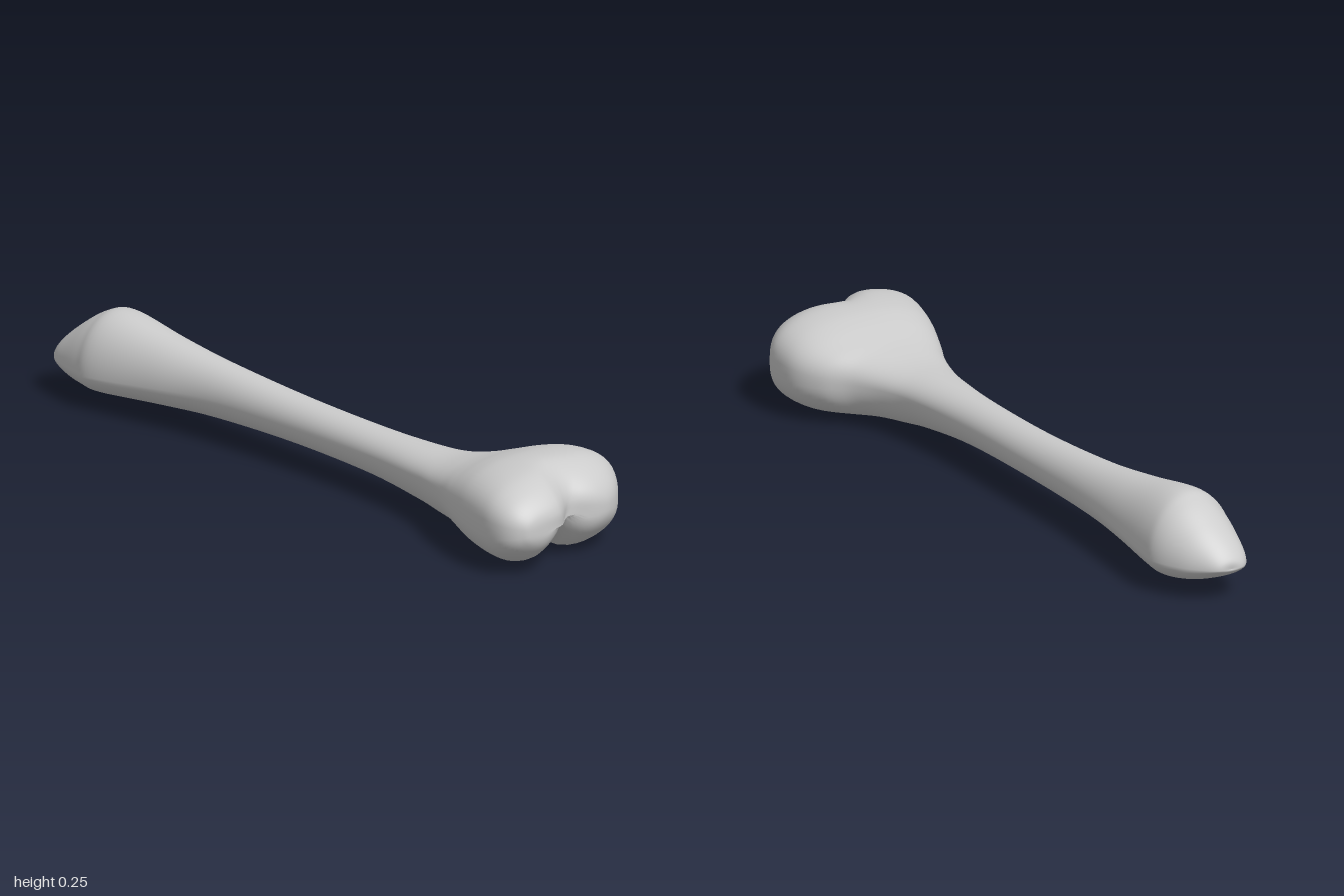
import * as THREE from 'three';

// Stations along the bone: z, left x, right x, bottom y, top y
const STATIONS = [
  [-1.0, -0.06, -0.06, 0.094, 0.094],
  [-0.998, -0.095, -0.025, 0.085, 0.115],
  [-0.97, -0.122, 0.012, 0.066, 0.15],
  [-0.92, -0.14, 0.052, 0.043, 0.193],
  [-0.85, -0.156, 0.082, 0.031, 0.238],
  [-0.78, -0.163, 0.08, 0.031, 0.253],
  [-0.6, -0.13, 0.06, 0.045, 0.226],
  [-0.4, -0.097, 0.045, 0.055, 0.203],
  [-0.1, -0.081, 0.04, 0.06, 0.184],
  [0.2, -0.083, 0.042, 0.053, 0.178],
  [0.4, -0.1, 0.06, 0.034, 0.18],
  [0.5, -0.119, 0.088, 0.022, 0.185],
  [0.58, -0.142, 0.135, 0.018, 0.2],
  [0.64, -0.168, 0.197, 0.014, 0.217],
  [0.7, -0.192, 0.233, 0.006, 0.236],
  [0.76, -0.213, 0.243, 0.002, 0.248],
  [0.84, -0.235, 0.238, 0.002, 0.251],
  [0.9, -0.245, 0.215, 0.008, 0.244],
  [0.95, -0.238, 0.18, 0.03, 0.223],
  [0.985, -0.212, 0.135, 0.063, 0.192],
  [1.0, -0.17, 0.08, 0.095, 0.16],
  [1.0, -0.05, -0.05, 0.125, 0.125],
];
const SIDES = 64;
const STEPS = 6;

// Smooth interpolation of all station values
function section(t) {
  const last = STATIONS.length - 1;
  const i = Math.min(Math.floor(t), last - 1);
  const f = t - i;
  const at = (k) => STATIONS[Math.max(0, Math.min(last, k))];
  const [p, q, r, s] = [at(i - 1), at(i), at(i + 1), at(i + 2)];
  return q.map((v, k) => {
    const a = (r[k] - p[k]) / 2;
    const b = (s[k] - v) / 2;
    return v + a * f + (3 * (r[k] - v) - 2 * a - b) * f * f
      + (2 * (v - r[k]) + a + b) * f * f * f;
  });
}

const bump = (x, centre, width) => Math.exp(-(((x - centre) / width) ** 2));
const smooth = THREE.MathUtils.smoothstep;

// Shape the two condyles, the groove between them and the hollow of the small end
function sculpt(x, y, z, ym, under) {
  const front = smooth(z, 0.72, 0.96);
  const dz = front * (0.04 * smooth(x, -0.08, 0.06) + 0.04 * bump(x, -0.02, 0.05));
  const groove = 0.055 * under * bump(x, -0.05, 0.06) * smooth(z, 0.66, 0.88);
  const hollow = 0.02 * under * bump(x, -0.04, 0.05) * bump(z, -0.82, 0.1);
  return [x, Math.min(y + groove + hollow, Math.max(y, ym)), z - dz];
}

function boneGeometry() {
  const positions = [];
  const indices = [];
  const rings = (STATIONS.length - 1) * STEPS;
  for (let i = 0; i <= rings; i++) {
    const [z, xl, xr, yb, yt] = section(i / STEPS);
    // The widest line runs low at the small end; the big end is squarer
    const ym = THREE.MathUtils.lerp(0.094, 0.125, smooth(z, -0.9, -0.3));
    const power = 2 / (2 + 0.7 * smooth(z, 0.4, 0.85));
    for (let j = 0; j < SIDES; j++) {
      const a = (j / SIDES) * Math.PI * 2;
      const c = Math.cos(a);
      const s = Math.sin(a);
      const x = (xl + xr) / 2 + ((xr - xl) / 2) * Math.sign(c) * Math.abs(c) ** power;
      const h = Math.abs(s) ** power;
      const y = s > 0 ? ym + (yt - ym) * h : ym - (ym - yb) * h;
      positions.push(...sculpt(x, y, z, ym, s < 0 ? h : 0));
      if (i < rings) {
        const p = i * SIDES + j;
        const q = i * SIDES + ((j + 1) % SIDES);
        indices.push(p, q, p + SIDES, q, q + SIDES, p + SIDES);
      }
    }
  }
  const geometry = new THREE.BufferGeometry();
  geometry.setAttribute('position', new THREE.Float32BufferAttribute(positions, 3));
  geometry.setIndex(indices);
  geometry.computeVertexNormals();
  return geometry;
}

export function createModel() {
  const group = new THREE.Group();
  group.name = 'legBone';
  const bone = new THREE.Mesh(
    boneGeometry(),
    new THREE.MeshStandardMaterial({ color: 0xcccccc }),
  );
  bone.name = 'bone';
  group.add(bone);
  return group;
}
